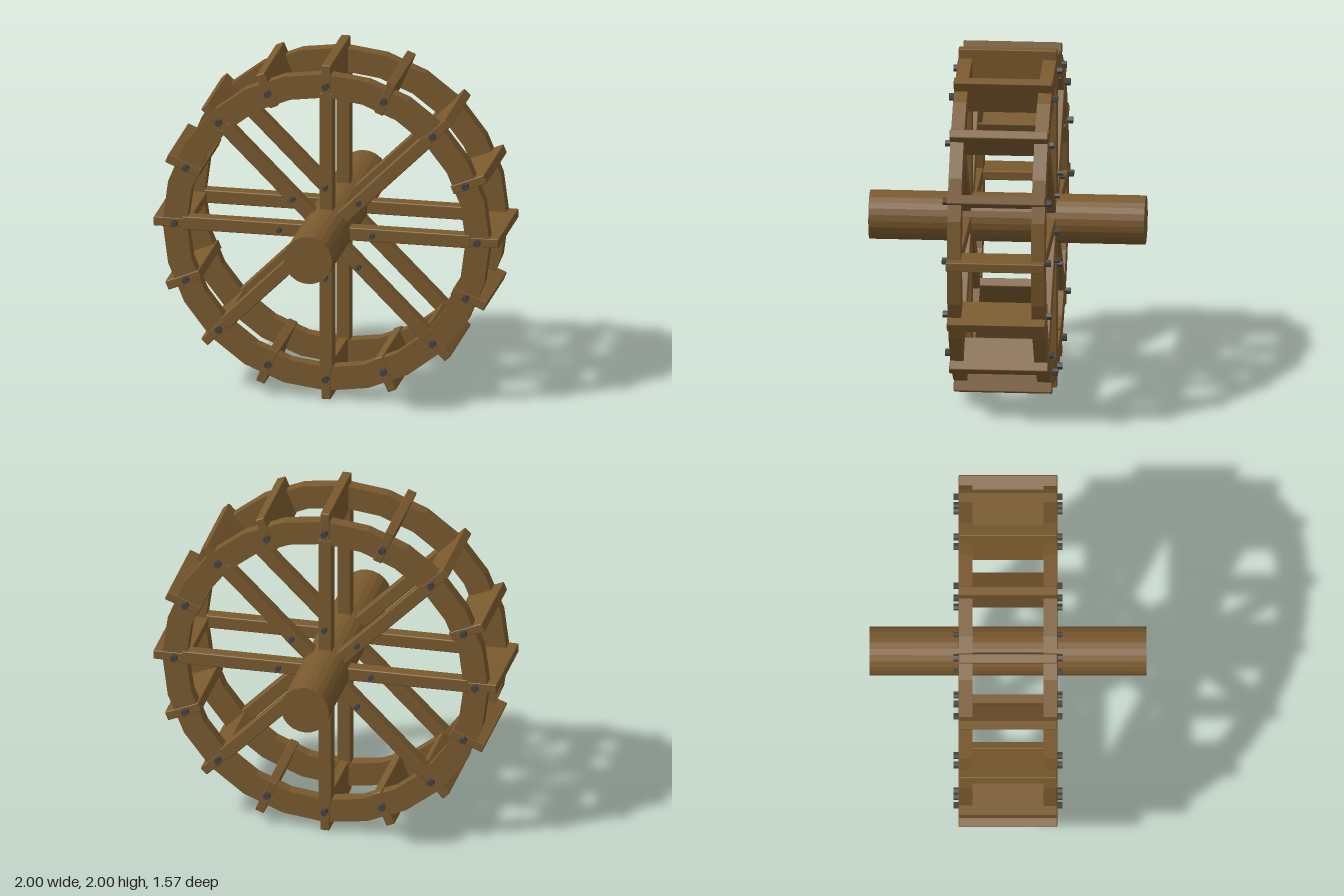
import * as THREE from 'three';
import { RoundedBoxGeometry } from 'three/addons/geometries/RoundedBoxGeometry.js';

export function createModel() {
  const model = new THREE.Group();
  model.name = 'waterWheel';
  const wood = new THREE.MeshStandardMaterial({ color: 0x7a5a2e });
  wood.name = 'wood';
  const iron = new THREE.MeshStandardMaterial({ color: 0x444444 });
  iron.name = 'iron';

  // Everything turns about the axle, one unit above the ground
  const wheel = new THREE.Group();
  wheel.name = 'wheel';
  wheel.position.y = 1;
  model.add(wheel);

  const add = (geometry, material, name, x = 0, y = 0, z = 0, turn = 0) => {
    const mesh = new THREE.Mesh(geometry, material);
    mesh.name = name;
    mesh.position.set(x, y, z);
    mesh.rotation.z = turn;
    wheel.add(mesh);
    return mesh;
  };
  const facet = (geometry) => {
    const flat = geometry.toNonIndexed();
    flat.computeVertexNormals();
    return flat;
  };
  const polygon = (PathType, radius, sides) => {
    const points = [];
    for (let i = 0; i < sides; i++) {
      const a = (i / sides) * Math.PI * 2;
      points.push(new THREE.Vector2(Math.cos(a) * radius, Math.sin(a) * radius));
    }
    return new PathType(points);
  };

  // Axle
  const axle = facet(new THREE.CylinderGeometry(0.14, 0.14, 1.57, 24).rotateX(Math.PI / 2));
  add(axle, wood, 'axle');

  // Shared shapes
  const rim = polygon(THREE.Shape, 0.948, 24);
  rim.holes.push(polygon(THREE.Path, 0.808, 24));
  const rimGeometry = new THREE.ExtrudeGeometry(rim, { depth: 0.076, bevelEnabled: false });
  const spokeGeometry = new RoundedBoxGeometry(1.67, 0.078, 0.08, 1, 0.007);
  const paddleGeometry = new RoundedBoxGeometry(0.21, 0.054, 0.56, 1, 0.006);
  const bolt = (radius) => facet(new THREE.CylinderGeometry(radius, radius, 0.04, 6).rotateX(Math.PI / 2));
  const rimBolt = bolt(0.021);
  const spokeBolt = bolt(0.016);

  // Two mirrored sides: rim, crossing spokes and bolts
  for (const side of [1, -1]) {
    add(rimGeometry, wood, 'rim', 0, 0, side * 0.239 - 0.038);
    for (let i = 0; i < 4; i++) {
      add(spokeGeometry, wood, 'spoke', 0, 0, side * 0.241, (i * Math.PI) / 4);
    }
    for (let i = 0; i < 16; i++) {
      const a = (i * Math.PI) / 8;
      add(rimBolt, iron, 'rimBolt', Math.cos(a) * 0.877, Math.sin(a) * 0.877, side * 0.29, a);
      if (i % 2 === 0) {
        add(spokeBolt, iron, 'spokeBolt', Math.cos(a) * 0.27, Math.sin(a) * 0.27, side * 0.29, a);
      }
    }
  }

  // Paddles across both rims
  for (let i = 0; i < 16; i++) {
    const a = (i * Math.PI) / 8;
    add(paddleGeometry, wood, 'paddle', Math.cos(a) * 0.895, Math.sin(a) * 0.895, 0, a);
  }
  return model;
}
